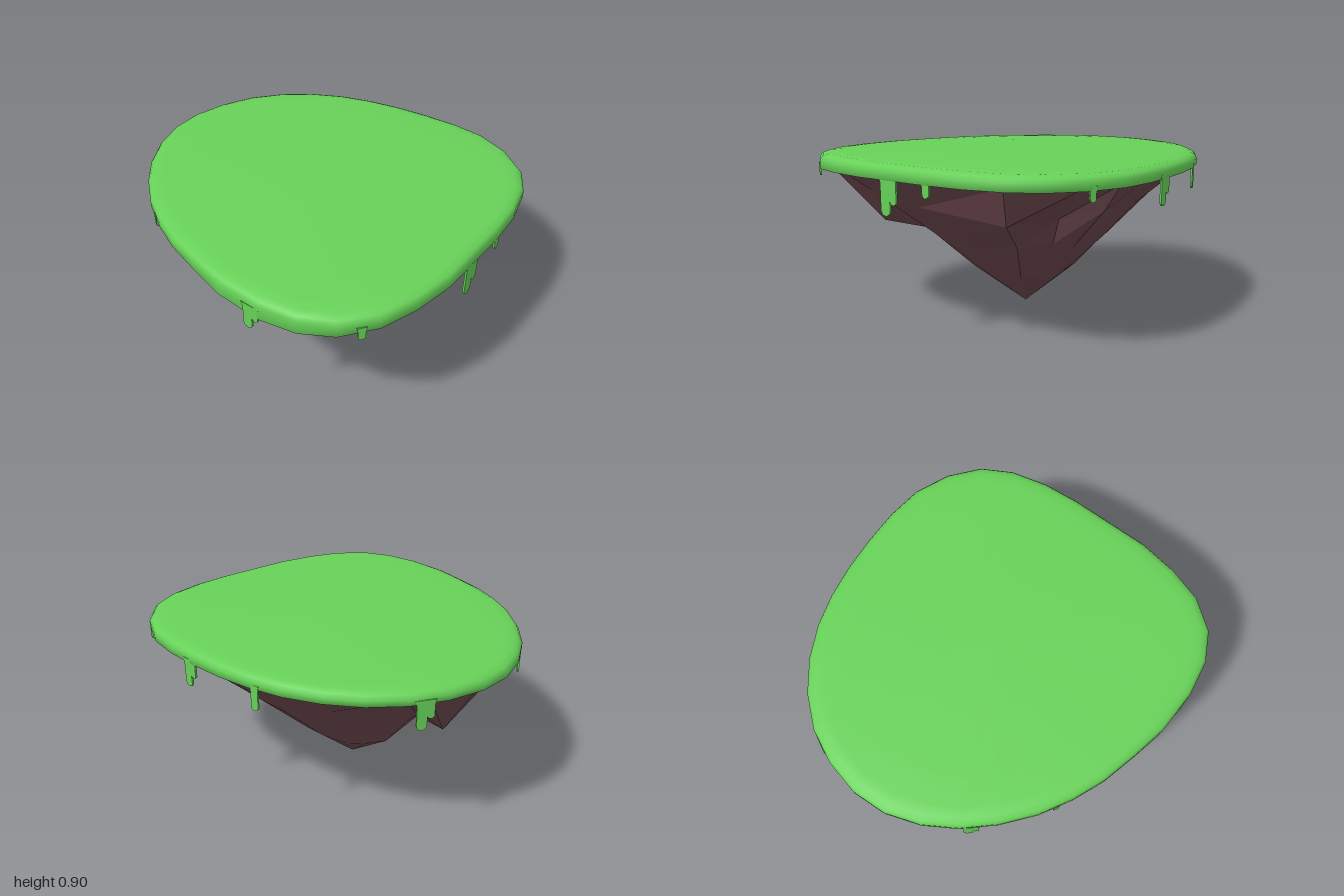
import * as THREE from 'three';
import { ConvexGeometry } from 'three/addons/geometries/ConvexGeometry.js';

const V = (x, y, z) => new THREE.Vector3(x, y, z);

// Plan outline of the island as x, z pairs
const outline = [
  [-1, 0], [-0.975, -0.19], [-0.91, -0.37], [-0.8, -0.53], [-0.66, -0.66], [-0.5, -0.76], [-0.33, -0.83], [-0.15, -0.88],
  [0.05, -0.915], [0.24, -0.935], [0.43, -0.93], [0.62, -0.87], [0.78, -0.76], [0.88, -0.61], [0.94, -0.42], [0.97, -0.22],
  [0.985, 0], [1, 0.22], [0.98, 0.44], [0.93, 0.63], [0.82, 0.79], [0.67, 0.88], [0.48, 0.925], [0.24, 0.935],
  [0.05, 0.91], [-0.15, 0.875], [-0.32, 0.82], [-0.49, 0.74], [-0.65, 0.63], [-0.79, 0.5], [-0.9, 0.35], [-0.975, 0.18],
];
const curve = new THREE.CatmullRomCurve3(outline.map(([x, z]) => V(x, 0, z)), true);

// Skin between closed rows of equal length, running outward, down and back in
function loft(rows) {
  const n = rows[0].length, index = [];
  for (let r = 0; r < rows.length - 1; r++) {
    for (let i = 0; i < n; i++) {
      const a = r * n + i, b = r * n + (i + 1) % n;
      index.push(a, b + n, a + n, a, b, b + n);
    }
  }
  const geo = new THREE.BufferGeometry().setFromPoints(rows.flat());
  geo.setIndex(index);
  geo.computeVertexNormals();
  return geo;
}

// Height of the lower edge of the grass, sagging at the front
const rimY = (x, z) => 0.81 - 0.036 * Math.exp(-((x - 0.45) ** 2 + (z - 0.92) ** 2) / 0.18);

function grassCap(material) {
  // scale and height; a height of 0 follows the sagging rim
  const profile = [[0, 0.9], [0.4, 0.897], [0.75, 0.888], [0.9, 0.882], [0.955, 0.877],
    [0.985, 0.865], [1, 0.845], [1, 0], [0.98, 0], [0.97, 0.822], [0, 0.822]];
  const rows = profile.map(([s, y]) => outline.map(([x, z]) => V(x * s, y ? y + 0.007 * x * s : rimY(x, z), z * s)));
  const mesh = new THREE.Mesh(loft(rows), material);
  mesh.name = 'grassCap';
  return mesh;
}

// One flat, round-ended drip hanging from the rim, optionally with a shorter neighbour
function drip(x, z, bottom, width, side, material) {
  let best = 0, min = Infinity;
  for (let i = 0; i < 400; i++) {
    const p = curve.getPoint(i / 400), d = (p.x - x) ** 2 + (p.z - z) ** 2;
    if (d < min) { min = d; best = i / 400; }
  }
  const p = curve.getPoint(best), t = curve.getTangent(best);
  const strand = (cx, low, w) => {
    const r = w / 2, s = new THREE.Shape();
    s.moveTo(cx - r * 1.4, 0.83);
    s.quadraticCurveTo(cx - r, 0.81, cx - r, 0.79);
    s.lineTo(cx - r, low + r);
    s.absarc(cx, low + r, r, Math.PI, Math.PI * 2, false);
    s.lineTo(cx + r, 0.79);
    s.quadraticCurveTo(cx + r, 0.81, cx + r * 1.4, 0.83);
    return s;
  };
  const shapes = [strand(0, bottom, width)];
  if (side) shapes.push(strand(width * 0.85, bottom + 0.055, width * 0.7));
  const geo = new THREE.ExtrudeGeometry(shapes, { depth: 0.01, bevelEnabled: false, curveSegments: 6 });
  const mesh = new THREE.Mesh(geo, material);
  mesh.position.set(p.x * 0.988, 0, p.z * 0.988);
  mesh.rotation.y = Math.atan2(t.z, -t.x);
  mesh.name = 'grassDrip';
  return mesh;
}

// Rock ribs: outline point, shoulder height, then plan scale at shoulder, middle and foot
const ribs = [
  [0, 0.65, 0.74, 0.52, 0.31], [2, 0.66, 0.72, 0.5, 0.29], [4, 0.64, 0.74, 0.52, 0.29], [7, 0.63, 0.71, 0.53, 0.27],
  [9, 0.66, 0.76, 0.53, 0.27], [10, 0.68, 0.83, 0.54, 0.27], [11, 0.6, 0.57, 0.47, 0.26], [13, 0.63, 0.87, 0.53, 0.26],
  [16, 0.66, 0.82, 0.54, 0.24], [18, 0.66, 0.77, 0.52, 0.25], [20, 0.65, 0.68, 0.49, 0.26], [22, 0.65, 0.7, 0.5, 0.26],
  [24, 0.65, 0.75, 0.51, 0.26], [26, 0.65, 0.74, 0.53, 0.27], [28, 0.65, 0.73, 0.53, 0.29], [30, 0.65, 0.75, 0.53, 0.3],
];

function rockCone(material) {
  const ring = (pick) => ribs.map((rib) => {
    const [s, y, shift] = pick(rib), [x, z] = outline[rib[0]];
    return V(x * s, y, z * s + shift);
  });
  const rows = [
    ring(() => [0.97, 0.822, 0]),
    ring((rib) => [rib[2], rib[1], 0]),
    ring((rib) => [rib[3], 0.45, 0]),
    ring((rib) => [rib[4], 0.21, 0.02]),
    ring(() => [0, 0, 0.03]),
  ];
  const mesh = new THREE.Mesh(loft(rows), material);
  mesh.name = 'rockCone';
  return mesh;
}

// Jutting boulders, each the hull of a few corners
const crags = {
  frontCrag: [[-0.13, 0.43, 0.64], [-0.36, 0.82, 0.76], [0.03, 0.82, 0.87], [-0.15, 0.82, 0.84], [0.02, 0.74, 0.8],
    [0.08, 0.46, 0.46], [-0.36, 0.6, 0.55], [-0.3, 0.46, 0.36], [0.2, 0.82, 0.5]],
  rightCrag: [[-0.74, 0.48, 0.02], [-0.52, 0.45, 0.05], [-0.95, 0.82, 0.05], [-0.87, 0.82, 0.3], [-0.68, 0.82, 0.53],
    [-0.66, 0.66, 0.38], [-0.91, 0.82, -0.25], [-0.4, 0.48, 0.2], [-0.7, 0.66, -0.17]],
  frontLeftCrag: [[0.61, 0.5, 0.52], [0.36, 0.6, 0.66], [0.4, 0.72, 0.78], [0.65, 0.7, 0.7], [0.82, 0.82, 0.72],
    [0.4, 0.82, 0.86], [0.3, 0.42, 0.3], [0.85, 0.74, 0.3], [0.45, 0.46, 0.15]],
};

export function createModel() {
  const group = new THREE.Group();
  group.name = 'floatingIsland';
  const grass = new THREE.MeshStandardMaterial({ color: 0x67d158, side: THREE.DoubleSide });
  const rock = new THREE.MeshStandardMaterial({ color: 0x6b474d, flatShading: true });

  group.add(grassCap(grass), rockCone(rock));
  for (const [name, corners] of Object.entries(crags)) {
    const mesh = new THREE.Mesh(new ConvexGeometry(corners.map((c) => V(...c))), rock);
    mesh.name = name;
    group.add(mesh);
  }

  // x, z, lowest point, width, whether a shorter neighbour hangs beside it
  const drips = [
    [-0.76, 0.53, 0.66, 0.045, true], [-0.4, 0.78, 0.76, 0.03, false], [0.43, 0.925, 0.69, 0.05, true],
    [0.89, 0.71, 0.76, 0.035, false], [1, 0.04, 0.64, 0.06, true], [0.97, -0.23, 0.75, 0.04, false],
    [0.6, -0.88, 0.76, 0.03, false], [0.1, -0.92, 0.68, 0.05, true], [-0.36, -0.82, 0.7, 0.04, false],
    [-0.935, -0.31, 0.68, 0.05, true],
  ];
  for (const d of drips) group.add(drip(...d, grass));
  return group;
}
